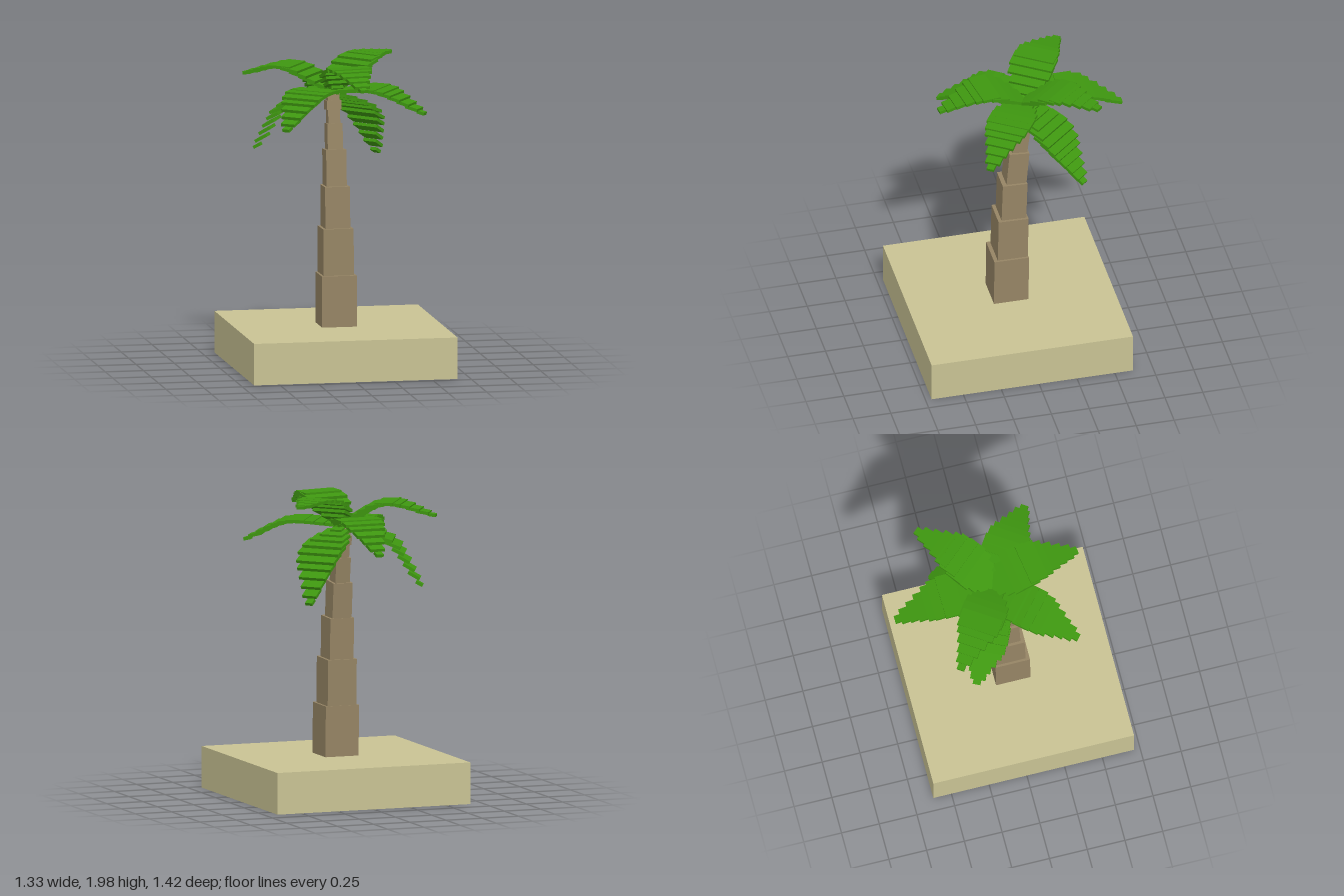
import * as THREE from 'three';

const mat = (name, color) => {
  const m = new THREE.MeshStandardMaterial({ color });
  m.name = name;
  return m;
};

export function createModel() {
  const sand = mat('sand', 0xc8c293);
  const bark = mat('bark', 0x958464);
  const leaf = mat('leaf green', 0x3e9610);
  const model = new THREE.Group();
  model.name = 'palmTree';

  const box = (parent, name, material, w, h, d) => {
    const mesh = new THREE.Mesh(new THREE.BoxGeometry(w, h, d), material);
    mesh.name = name;
    parent.add(mesh);
    return mesh;
  };

  // Square sand block
  box(model, 'sandBase', sand, 1.33, 0.27, 1.33).position.set(0, 0.135, 0.045);

  // Stacked trunk blocks leaning backwards: y0, z0, y1, z1, width
  const trunk = new THREE.Group();
  trunk.name = 'trunk';
  model.add(trunk);
  [
    [0.26, 0.051, 0.60, 0.048, 0.228],
    [0.58, 0.038, 0.90, 0.031, 0.198],
    [0.88, 0.026, 1.168, 0.017, 0.163],
    [1.15, 0.006, 1.40, -0.015, 0.132],
    [1.38, -0.018, 1.565, -0.041, 0.1],
    [1.54, -0.044, 1.76, -0.075, 0.078],
    [1.65, -0.06, 1.71, -0.068, 0.095],
  ].forEach(([y0, z0, y1, z1, w]) => {
    const b = box(trunk, 'trunkBlock', bark, w, Math.hypot(y1 - y0, z1 - z0), w);
    b.position.set(0, (y0 + y1) / 2, (z0 + z1) / 2);
    b.rotation.x = Math.atan2(z1 - z0, y1 - y0);
  });

  // A frond is a staircase of thin plates along an arched curve
  const widths = [0.08, 0.16, 0.23, 0.28, 0.29, 0.27, 0.24, 0.19, 0.14, 0.1, 0.05];
  const frond = (mid, tip) => {
    const group = new THREE.Group();
    group.name = 'frond';
    model.add(group);
    const curve = new THREE.CatmullRomCurve3([
      new THREE.Vector3(0, 1.77, -0.06), new THREE.Vector3(...mid), new THREE.Vector3(...tip),
    ]);
    const yaw = Math.atan2(tip[0], tip[2] + 0.06);
    widths.forEach((w, i) => {
      const t = 0.05 + 0.92 * i / (widths.length - 1);
      const dir = curve.getTangentAt(t);
      const plate = box(group, 'frondPlate', leaf, w, 0.02, i < 6 ? 0.12 : i < 10 ? 0.085 : 0.05);
      plate.position.copy(curve.getPointAt(t));
      plate.rotation.order = 'YXZ';
      plate.rotation.set(-Math.asin(dir.y) * 0.5, yaw, 0);
    });
  };

  // Fronds: midpoint and tip
  [
    [[0, 1.835, -0.38], [-0.01, 1.65, -0.7]],
    [[0.21, 1.96, -0.23], [0.44, 1.955, -0.45]],
    [[0.28, 1.8, 0.11], [0.53, 1.66, 0.29]],
    [[0.05, 1.95, 0.2], [0.09, 1.855, 0.52]],
    [[-0.21, 1.79, 0.16], [-0.395, 1.595, 0.405]],
    [[-0.25, 1.925, -0.2], [-0.51, 1.85, -0.4]],
    [[0.21, 1.62, -0.22], [0.345, 1.31, -0.37]],
    [[-0.28, 1.68, -0.17], [-0.46, 1.38, -0.28]],
  ].forEach(([mid, tip]) => frond(mid, tip));

  return model;
}
